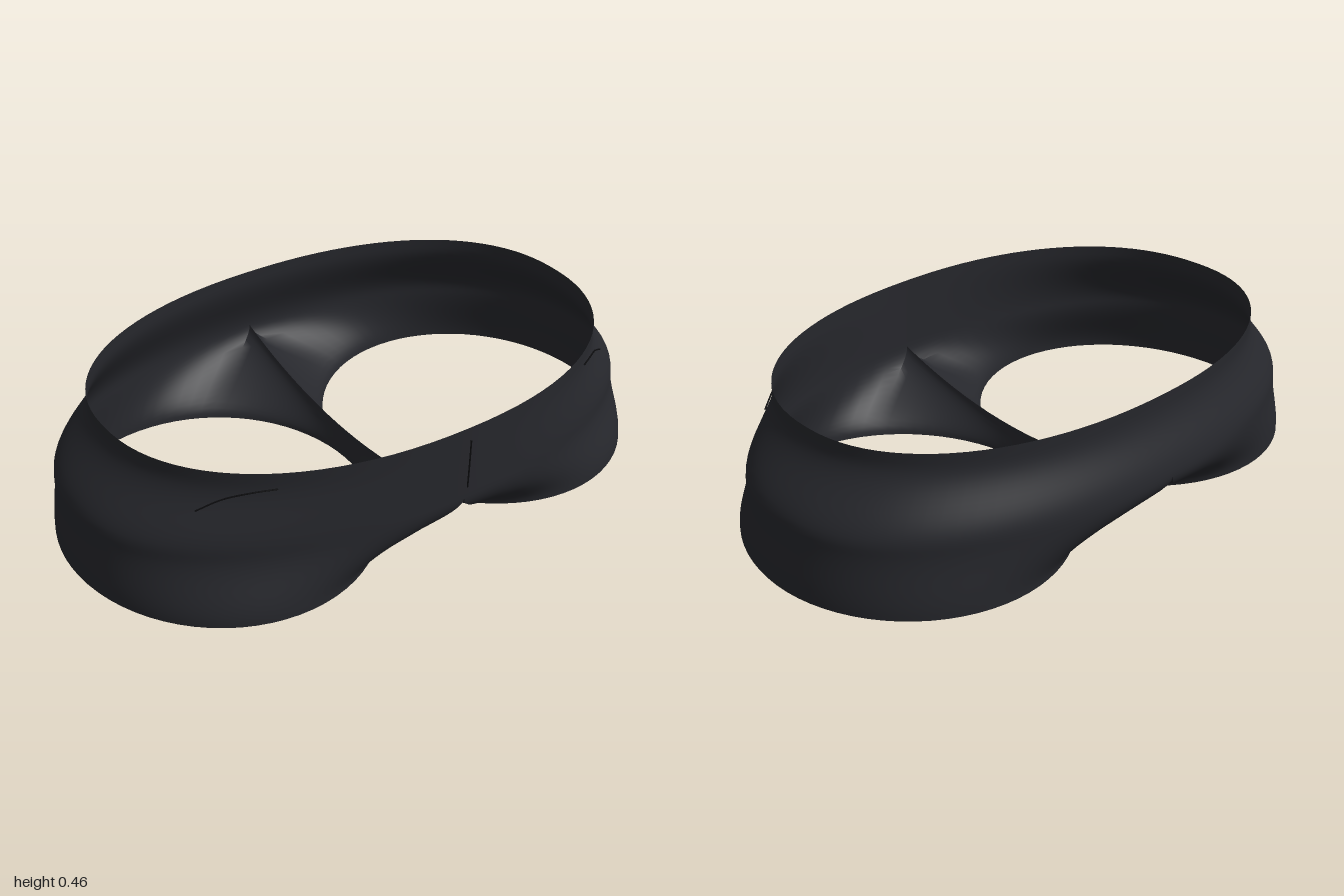
import * as THREE from 'three';
import { mergeGeometries, mergeVertices, toCreasedNormals } from 'three/addons/utils/BufferGeometryUtils.js';

const HIP_Y = 0.21, TOP_Y = 0.46;
const HALF = 48; // columns over half of the waist
const { lerp, smoothstep } = THREE.MathUtils;
const bend = (v) => Math.sign(v) * Math.abs(v) ** (2 / 2.2);

// Point on the waist-to-hip shell; angle 0 is the front, PI / 2 the left side
function shell(a, y) {
  const t = smoothstep(y, HIP_Y, 0.425);
  const rx = lerp(0.98, 0.85, t);
  const rz = Math.cos(a) > 0 ? 0.605 : lerp(0.62, 0.56, t);
  return [rx * bend(Math.sin(a)), y, rz * bend(Math.cos(a))];
}

// Point on one leg: k runs 0..1 around the outside, 1..1.5 back along the crotch
function leg(k, t) {
  const corner = (2 * Math.PI) / 3;
  const phi = corner - k * 2 * corner;
  const s = Math.sin(phi);
  const hem = [0.505 + 0.495 * Math.cos(phi), 0, s * (s > 0 ? 0.56 : 0.53)];
  let top;
  if (k <= 1) top = shell(k * Math.PI, HIP_Y);
  else {
    const u = s / Math.sin(corner);
    top = [0, 0.1 + (HIP_Y - 0.1) * u * u, u * (u > 0 ? 0.605 : 0.62)];
  }
  const e = smoothstep(t, 0, 1);
  return [lerp(hem[0], top[0], e), top[1] * t, lerp(hem[2], top[2], e)];
}

// Grid of quads from a function of column and row
function grid(cols, rows, point, mirror = 1) {
  const pos = [], index = [];
  for (let j = 0; j <= rows; j++)
    for (let i = 0; i <= cols; i++) {
      const [x, y, z] = point(i / cols, j / rows);
      pos.push(x * mirror, y, z);
    }
  for (let j = 0; j < rows; j++)
    for (let i = 0; i < cols; i++) {
      const a = j * (cols + 1) + i, b = a + 1, c = b + cols + 1, d = c - 1;
      if (mirror > 0) index.push(a, b, c, a, c, d);
      else index.push(a, c, b, a, d, c);
    }
  const g = new THREE.BufferGeometry();
  g.setAttribute('position', new THREE.Float32BufferAttribute(pos, 3));
  g.setIndex(index);
  return g;
}

export function createModel() {
  const group = new THREE.Group();
  const cloth = new THREE.MeshStandardMaterial({ color: 0x26272c, side: THREE.DoubleSide });
  const thread = new THREE.MeshStandardMaterial({ color: 0x0c0c0e });

  // Hips and both legs, joined so shading flows across the hip line
  const hips = grid(HALF * 2, 16, (u, v) => shell(u * 2 * Math.PI, lerp(HIP_Y, TOP_Y, v)));
  const legs = [1, -1].map((m) => grid(HALF * 1.5, 14, (u, v) => leg(u * 1.5, v), m));
  const joined = mergeVertices(mergeGeometries([hips, ...legs]), 1e-4);
  const shorts = new THREE.Mesh(toCreasedNormals(joined, 0.7), cloth);
  shorts.name = 'shorts';
  group.add(shorts);

  // Thin seams
  const seam = (name, points) => {
    const curve = new THREE.CatmullRomCurve3(points.map((p) => new THREE.Vector3(...p)));
    const mesh = new THREE.Mesh(new THREE.TubeGeometry(curve, 20, 0.0025, 6), thread);
    mesh.name = name;
    group.add(mesh);
  };
  seam('flySeam', [[0, 0.26, 0.617], [0, 0.34, 0.62], [0, 0.43, 0.622]]);
  for (const m of [1, -1]) {
    const pocket = [[0.56, 0.41], [0.62, 0.4], [0.69, 0.377], [0.755, 0.34]].map(([x, y]) => {
      const rx = lerp(0.98, 0.85, smoothstep(y, HIP_Y, 0.425));
      const z = 0.605 * (1 - (x / rx) ** 2.2) ** (1 / 2.2);
      return [m * (x + 0.002), y, z + 0.003];
    });
    seam(m > 0 ? 'leftPocketSeam' : 'rightPocketSeam', pocket);
  }
  return group;
}
